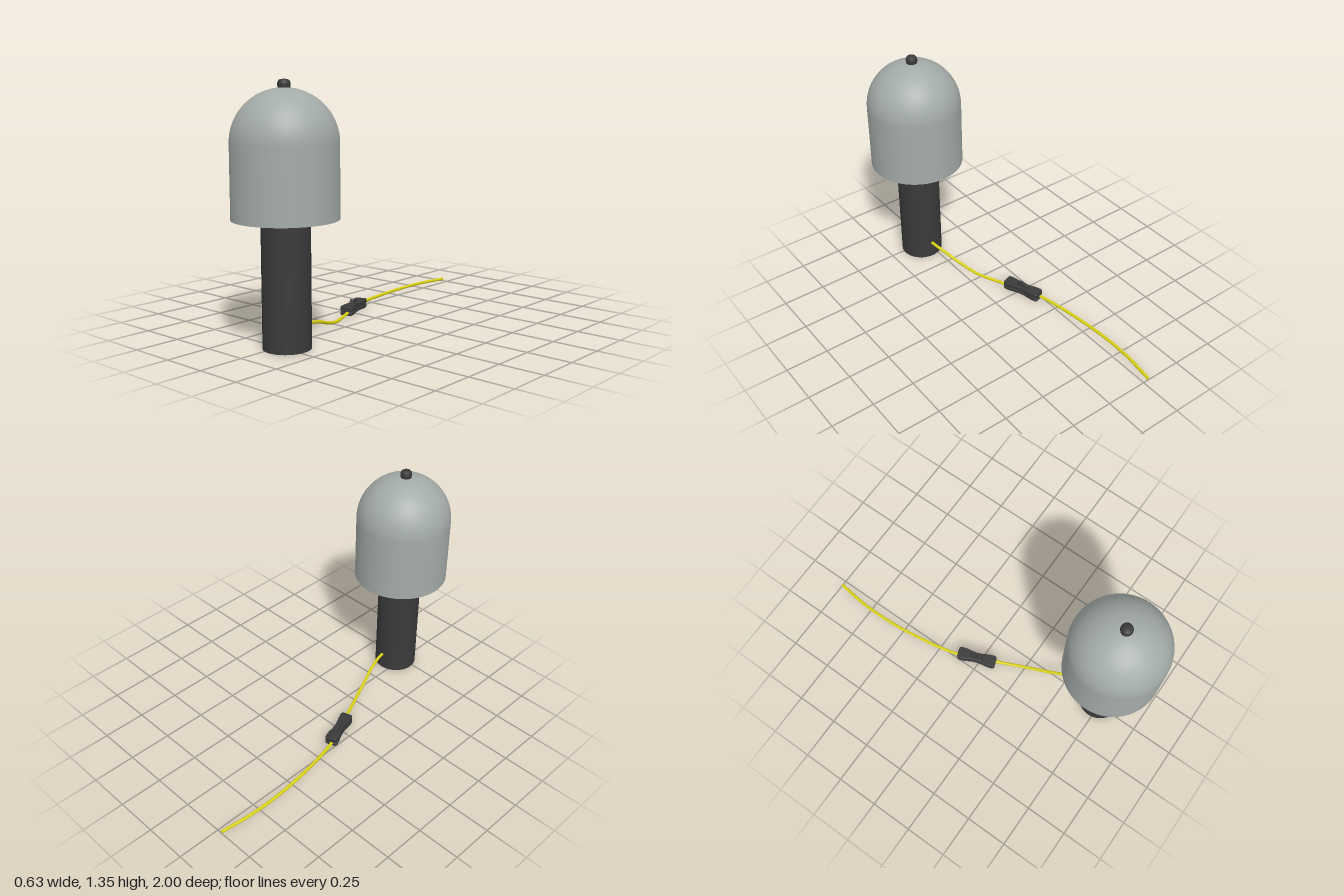
import * as THREE from 'three';

const DARK = 0x3a3a3a, SHADE = 0xa3aba8, YELLOW = 0xd9d211;
const LAMP_X = 0.042, LAMP_Z = 0.728;

function part(name, geometry, color, side = THREE.FrontSide) {
  const mesh = new THREE.Mesh(geometry, new THREE.MeshStandardMaterial({ color, side }));
  mesh.name = name;
  return mesh;
}

const lathe = (points, segments) =>
  new THREE.LatheGeometry(points.map(([r, y]) => new THREE.Vector2(r, y)), segments);

// Column, domed shade and finial on one axis
function createLamp() {
  const lamp = new THREE.Group();
  lamp.name = 'lamp';
  lamp.position.set(LAMP_X, 0, LAMP_Z);

  const column = part('column', new THREE.CylinderGeometry(0.125, 0.125, 0.8, 64), DARK);
  column.position.y = 0.4;

  const stem = part('stem', new THREE.CylinderGeometry(0.02, 0.02, 0.52, 24), DARK);
  stem.position.y = 1.05;

  // Straight wall, then a quarter ellipse up to the crown
  const profile = [[0.272, 0.66], [0.272, 0.86], [0.272, 1.04]];
  for (let i = 1; i <= 24; i++) {
    const a = (i / 24) * Math.PI / 2;
    profile.push([0.272 * Math.cos(a), 1.04 + 0.27 * Math.sin(a)]);
  }
  const shade = part('shade', lathe(profile, 72), SHADE, THREE.DoubleSide);

  const finial = part('finial', lathe([
    [0.028, 1.295], [0.031, 1.31], [0.033, 1.325], [0.031, 1.338],
    [0.025, 1.346], [0.014, 1.35], [0, 1.35],
  ], 32), DARK);

  lamp.add(column, stem, shade, finial);
  return lamp;
}

// Cable leaving the back of the column and trailing along the floor
function createCable() {
  const cable = new THREE.Group();
  cable.name = 'cable';
  const path = new THREE.CatmullRomCurve3([
    [0.045, 0.1, 0.62], [0.04, 0.097, 0.57], [0.015, 0.077, 0.47], [-0.02, 0.045, 0.37],
    [-0.06, 0.021, 0.26], [-0.135, 0.02, 0.09], [-0.185, 0.022, -0.025], [-0.235, 0.022, -0.14],
    [-0.28, 0.019, -0.36], [-0.306, 0.017, -0.6], [-0.306, 0.016, -0.8], [-0.283, 0.012, -0.998],
  ].map((p) => new THREE.Vector3(...p)));
  const cord = part('cord', new THREE.TubeGeometry(path, 120, 0.009, 12), YELLOW);
  const tip = part('cordEnd', new THREE.SphereGeometry(0.009, 12, 8), YELLOW);
  tip.scale.z = 0.3;
  tip.position.copy(path.getPoint(1));
  cable.add(cord, tip);
  return cable;
}

// Waisted inline switch made of two shells, with a raised rocker
function createSwitch() {
  const inline = new THREE.Group();
  inline.name = 'inlineSwitch';
  inline.position.set(-0.187, 0, -0.023);
  inline.rotation.y = 0.335;

  const outline = new THREE.Shape();
  outline.moveTo(-0.022, -0.112);
  outline.lineTo(0.022, -0.112);
  outline.quadraticCurveTo(0.03, -0.112, 0.03, -0.1);
  outline.bezierCurveTo(0.03, -0.05, 0.02, -0.05, 0.02, 0);
  outline.bezierCurveTo(0.02, 0.05, 0.03, 0.05, 0.03, 0.1);
  outline.quadraticCurveTo(0.03, 0.112, 0.022, 0.112);
  outline.lineTo(-0.022, 0.112);
  outline.quadraticCurveTo(-0.03, 0.112, -0.03, 0.1);
  outline.bezierCurveTo(-0.03, 0.05, -0.02, 0.05, -0.02, 0);
  outline.bezierCurveTo(-0.02, -0.05, -0.03, -0.05, -0.03, -0.1);
  outline.quadraticCurveTo(-0.03, -0.112, -0.022, -0.112);

  for (const [name, y, height] of [['lowerShell', 0.004, 0.021], ['upperShell', 0.025, 0.031]]) {
    const bevel = 0.006;
    const shell = new THREE.ExtrudeGeometry(outline, {
      depth: height - 2 * bevel, bevelThickness: bevel, bevelSize: bevel,
      bevelSegments: 3, curveSegments: 10,
    });
    shell.rotateX(-Math.PI / 2).translate(0, y + bevel, 0);
    inline.add(part(name, shell, DARK));
  }

  // Wedge profile along the switch, extruded across it
  const wedge = new THREE.Shape();
  wedge.moveTo(-0.045, 0.045);
  wedge.lineTo(0.045, 0.045);
  wedge.lineTo(0.04, 0.062);
  wedge.lineTo(-0.018, 0.077);
  wedge.lineTo(-0.028, 0.076);
  wedge.lineTo(-0.04, 0.056);
  const rocker = new THREE.ExtrudeGeometry(wedge, { depth: 0.022, bevelEnabled: false });
  rocker.translate(0, 0, -0.011).rotateY(Math.PI / 2);
  inline.add(part('rocker', rocker, DARK));
  return inline;
}

export function createModel() {
  const model = new THREE.Group();
  model.name = 'tableLamp';
  model.add(createLamp(), createCable(), createSwitch());
  return model;
}
